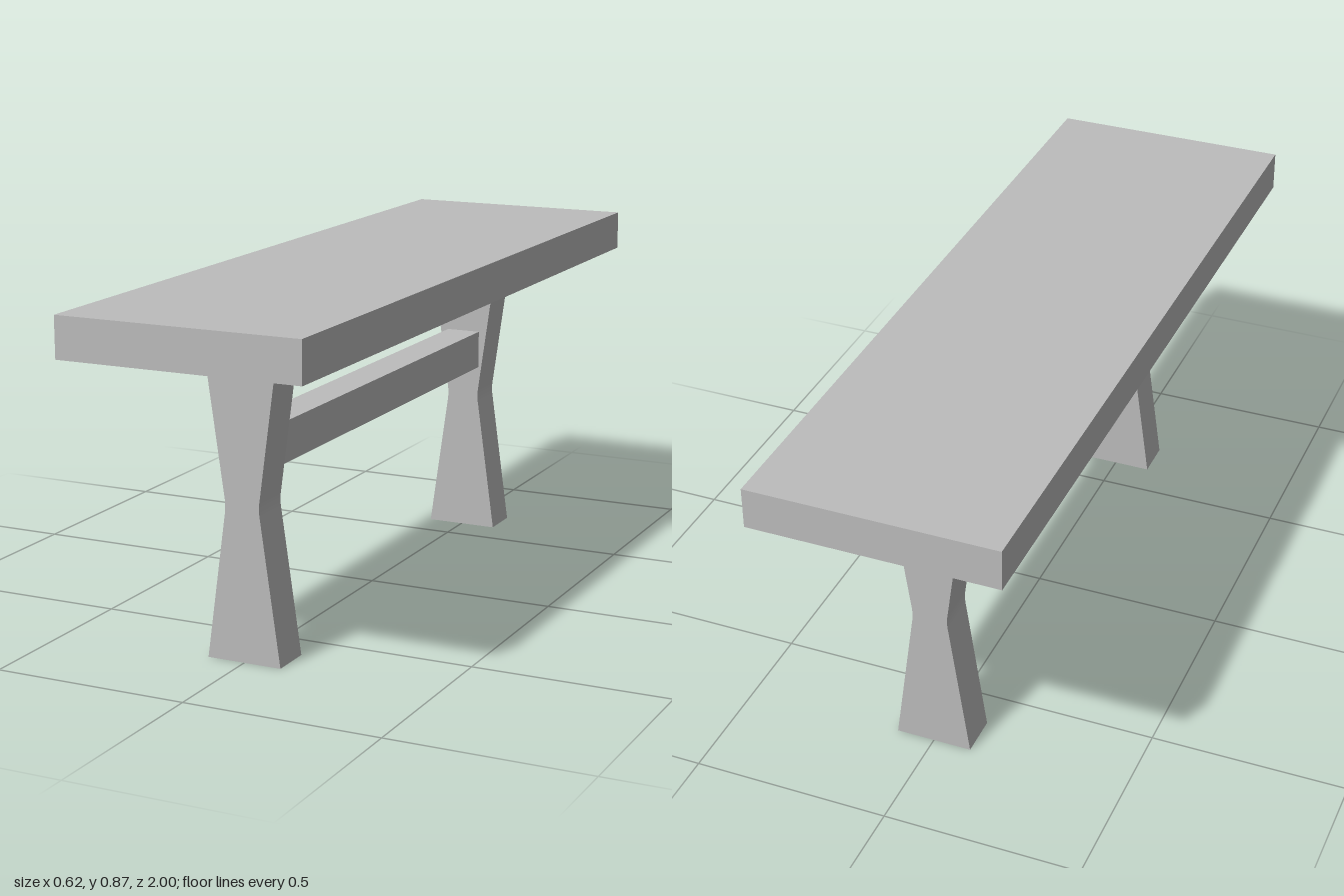
import * as THREE from 'three';

const SEAT = { width: 0.624, bottom: 0.767, top: 0.87, length: 2 };
const LEG = { half: 0.0975, inner: 0.6, thickness: 0.108 };

// Hourglass board outline with a softly rounded waist
function legShape() {
  const mid = SEAT.bottom / 2, w = 0.0475, r = 0.027;
  const s = new THREE.Shape();
  s.moveTo(-LEG.half, 0);
  s.lineTo(LEG.half, 0);
  s.lineTo(w, mid - r);
  s.quadraticCurveTo(0.0425, mid, w, mid + r);
  s.lineTo(LEG.half, SEAT.bottom);
  s.lineTo(-LEG.half, SEAT.bottom);
  s.lineTo(-w, mid + r);
  s.quadraticCurveTo(-0.0425, mid, -w, mid - r);
  s.closePath();
  return s;
}

export function createModel() {
  const model = new THREE.Group();
  model.name = 'bench';
  const grey = new THREE.MeshStandardMaterial({ color: 0xbcbcbc });
  grey.name = 'plain grey';

  const add = (name, geometry, y, z = 0) => {
    const mesh = new THREE.Mesh(geometry, grey);
    mesh.name = name;
    mesh.position.set(0, y, z);
    model.add(mesh);
  };

  // Seat plank
  add('seat', new THREE.BoxGeometry(SEAT.width, SEAT.top - SEAT.bottom, SEAT.length),
    (SEAT.top + SEAT.bottom) / 2);

  // Two matching legs
  const leg = new THREE.ExtrudeGeometry(legShape(), {
    depth: LEG.thickness, bevelEnabled: false, curveSegments: 8,
  });
  add('frontLeg', leg, 0, LEG.inner);
  add('backLeg', leg, 0, -LEG.inner - LEG.thickness);

  // Beam joining the legs
  add('stretcher', new THREE.BoxGeometry(0.094, 0.102, LEG.inner * 2), 0.517);

  return model;
}
